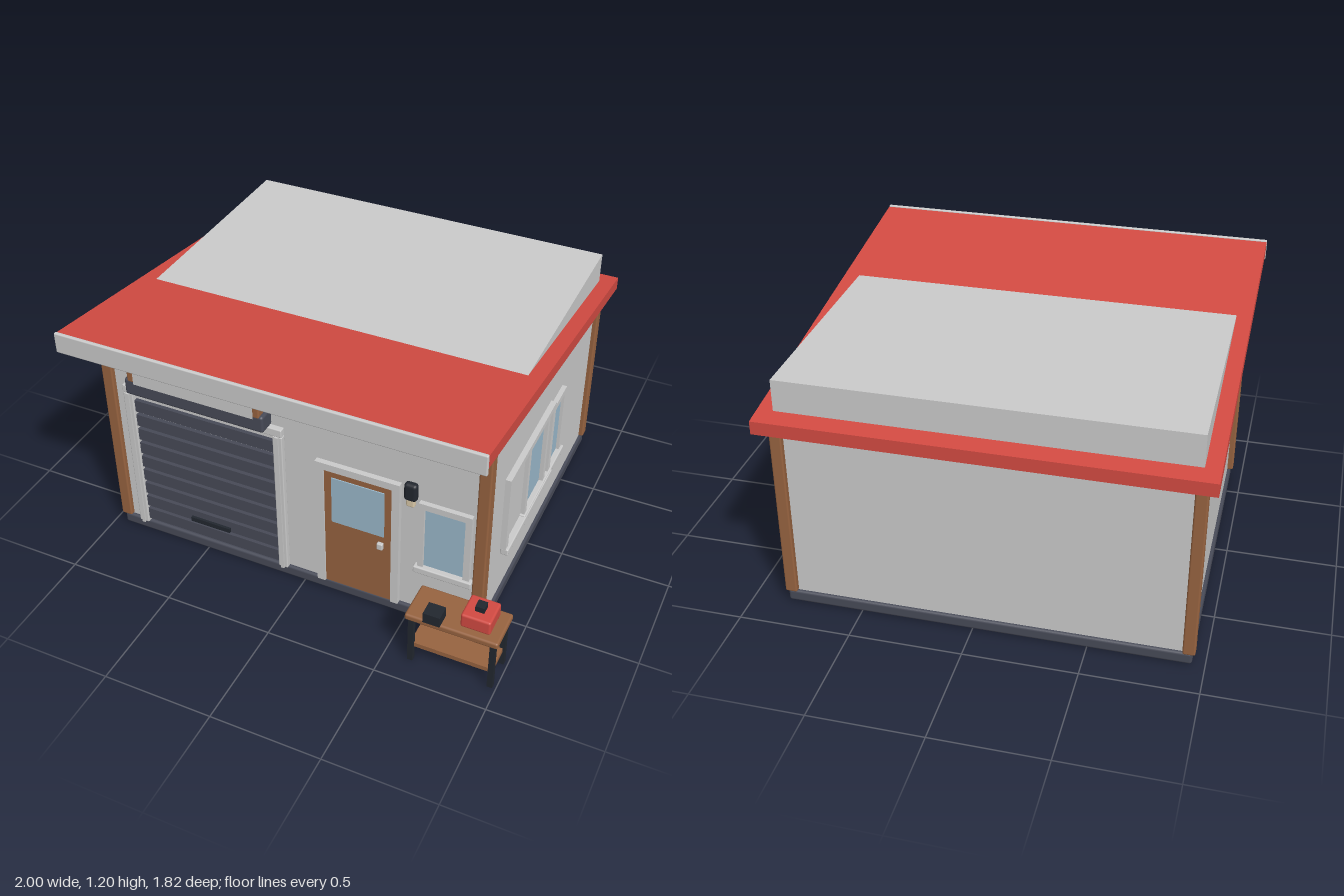
import * as THREE from 'three';
import { RoundedBoxGeometry } from 'three/addons/geometries/RoundedBoxGeometry.js';

const mat = (name, color, side = THREE.FrontSide) => {
  const m = new THREE.MeshStandardMaterial({ color, side });
  m.name = name;
  return m;
};

export function createModel() {
  const grey = mat('pale grey', 0xcacaca);
  const red = mat('roof red', 0xd24a42);
  const wood = mat('wood brown', 0x976340);
  const slate = mat('slate', 0x474a57);
  const black = mat('near black', 0x22272f);
  const glass = mat('window blue', 0x9ab8cb);
  const cream = mat('cream', 0xd9c8a8);

  const root = new THREE.Group();
  root.name = 'garage';
  const group = (name) => {
    const g = new THREE.Group();
    g.name = name;
    root.add(g);
    return g;
  };
  // Box given by its limits on each axis, with an optional rounded edge
  const box = (parent, name, m, [x0, x1], [y0, y1], [z0, z1], r = 0) => {
    const w = x1 - x0, h = y1 - y0, d = z1 - z0;
    const geo = r ? new RoundedBoxGeometry(w, h, d, 2, r) : new THREE.BoxGeometry(w, h, d);
    const mesh = new THREE.Mesh(geo, m);
    mesh.name = name;
    mesh.position.set((x0 + x1) / 2, (y0 + y1) / 2, (z0 + z1) / 2);
    parent.add(mesh);
    return mesh;
  };
  const F = 0.64;   // front wall plane
  const S = 0.825;  // left side wall plane

  // Shell: floor slab, walls and corner posts
  const shell = group('shell');
  box(shell, 'floorSlab', slate, [-0.945, 0.838], [0.005, 0.06], [-0.84, 0.655], 0.012);
  box(shell, 'walls', grey, [-0.93, S], [0.06, 1.108], [-0.826, F]);
  for (const x of [-0.93, 0.82]) {
    box(shell, 'frontPost', wood, [x - 0.027, x + 0.027], [0.06, 1.11], [0.607, 0.662], 0.008);
    box(shell, 'backPost', wood, [x - 0.027, x + 0.027], [0.06, 0.915], [-0.85, -0.796], 0.008);
  }

  // Sloping roof: side profile extruded across the width
  const roof = group('roof');
  const profile = new THREE.Shape([
    [-0.873, 1.137], [0.91, 0.893], [0.91, 0.953], [-0.873, 1.198],
  ].map(([x, y]) => new THREE.Vector2(x, y)));
  const slab = new THREE.Mesh(
    new THREE.ExtrudeGeometry(profile, { depth: 1.892, bevelEnabled: false }), red);
  slab.name = 'roofSlab';
  slab.rotation.y = Math.PI / 2;
  slab.position.x = -0.998;
  roof.add(slab);
  box(roof, 'frontFascia', grey, [-1, 0.895], [1.107, 1.203], [0.862, 0.88], 0.006);

  // Roller door
  const roller = group('rollerDoor');
  for (const [a, b] of [[-0.853, -0.805], [-0.12, -0.075]]) {
    box(roller, 'jamb', grey, [a, b], [0.06, 0.807], [F, F + 0.028], 0.005);
    const c = (a + b) / 2;
    box(roller, 'guideRail', grey, [c - 0.008, c + 0.008], [0.06, 0.807], [F, F + 0.036]);
  }
  box(roller, 'lintel', grey, [-0.853, -0.075], [0.807, 0.847], [F, F + 0.03], 0.005);
  for (let i = 0; i < 9; i++) {
    const y = 0.08 + i * 0.0784;
    box(roller, 'slat', slate, [-0.805, -0.12], [y, y + 0.061], [F, F + 0.018]);
  }
  box(roller, 'pullHandle', black, [-0.565, -0.365], [0.162, 0.185], [F, F + 0.03]);

  // Blank sign board above the roller door
  const sign = group('signBoard');
  box(sign, 'signBase', slate, [-0.798, -0.13], [0.85, 0.932], [F, 0.722], 0.012);
  box(sign, 'signPanel', grey, [-0.75, -0.175], [0.915, 1.015], [0.675, 0.724]);
  box(sign, 'signTop', wood, [-0.782, -0.147], [1.01, 1.04], [0.675, 0.722], 0.008);
  for (const x of [-0.765, -0.163])
    box(sign, 'signSide', wood, [x - 0.017, x + 0.017], [0.92, 1.035], [0.675, 0.722], 0.008);
  for (const x of [-0.695, -0.23])
    box(sign, 'signBracket', black, [x - 0.012, x + 0.012], [1.03, 1.056], [F, 0.69]);

  // Entrance door
  const door = group('entranceDoor');
  for (const [a, b] of [[0.074, 0.112], [0.425, 0.46]])
    box(door, 'doorJamb', grey, [a, b], [0.06, 0.737], [F, F + 0.025]);
  box(door, 'doorHead', grey, [0.112, 0.425], [0.702, 0.737], [F, F + 0.025]);
  box(door, 'doorLeaf', wood, [0.11, 0.427], [0.06, 0.704], [F, F + 0.015]);
  box(door, 'doorGlass', glass, [0.147, 0.39], [0.422, 0.665], [F + 0.015, F + 0.02]);
  box(door, 'doorHandle', grey, [0.362, 0.39], [0.355, 0.39], [F + 0.015, F + 0.035], 0.006);

  // Wall lamp
  const lamp = group('wallLamp');
  box(lamp, 'lampHousing', black, [0.48, 0.538], [0.678, 0.766], [F, F + 0.036], 0.015);
  box(lamp, 'lampBulb', cream, [0.488, 0.526], [0.64, 0.685], [F, F + 0.025], 0.008);

  // Window in local axes: u across, y up, z outward from the wall
  const windowUnit = (name, [u0, u1], [y0, y1], depth, panes, sill) => {
    const g = group(name);
    const edges = [u0, ...panes.flat().slice(0, -3), u1];
    edges.length = 0;
    let last = u0;
    for (const [a, b] of panes) { edges.push([last, a]); last = b; }
    edges.push([last, u1]);
    for (const e of edges) box(g, 'windowBar', grey, e, [y0, y1], [0, depth]);
    box(g, 'windowHead', grey, [u0, u1], [y1 - 0.03, y1], [0, depth]);
    for (const [a, b, m] of panes) box(g, 'pane', m, [a, b], [y0, y1 - 0.03], [0, 0.008]);
    box(g, 'sill', grey, sill, [y0 - 0.03, y0 + 0.004], [0, depth + 0.012], 0.006);
    return g;
  };
  windowUnit('frontWindow', [0.545, 0.778], [0.322, 0.675], 0.022,
    [[0.57, 0.75, glass]], [0.53, 0.792]).position.z = F;
  // Side windows: u runs toward the back after turning
  for (const w of [
    windowUnit('sideWindowFront', [-0.41, 0.187], [0.315, 0.703], 0.026,
      [[-0.378, -0.17, grey], [-0.142, 0.08, glass], [0.107, 0.152, glass]], [-0.41, 0.187]),
    windowUnit('sideWindowBack', [0.187, 0.356], [0.322, 0.675], 0.022,
      [[0.192, 0.328, glass]], [-0.18, 0.37]),
  ]) {
    w.rotation.y = Math.PI / 2;
    w.position.x = S;
  }

  // Workbench with a toolbox and a small block
  const bench = group('workbench');
  box(bench, 'benchTop', wood, [0.59, 0.998], [0.247, 0.279], [0.71, 0.9], 0.01);
  box(bench, 'benchShelf', wood, [0.61, 0.975], [0.073, 0.095], [0.735, 0.87]);
  for (const x of [0.614, 0.972]) for (const z of [0.733, 0.873])
    box(bench, 'benchLeg', black, [x - 0.012, x + 0.012], [0, 0.25], [z - 0.012, z + 0.012]);
  box(bench, 'toolbox', red, [0.822, 0.952], [0.279, 0.348], [0.738, 0.868], 0.01);
  box(bench, 'toolboxHandle', black, [0.868, 0.908], [0.345, 0.375], [0.783, 0.825]);
  box(bench, 'smallBlock', black, [0.675, 0.75], [0.28, 0.33], [0.84, 0.91]);

  return root;
}
